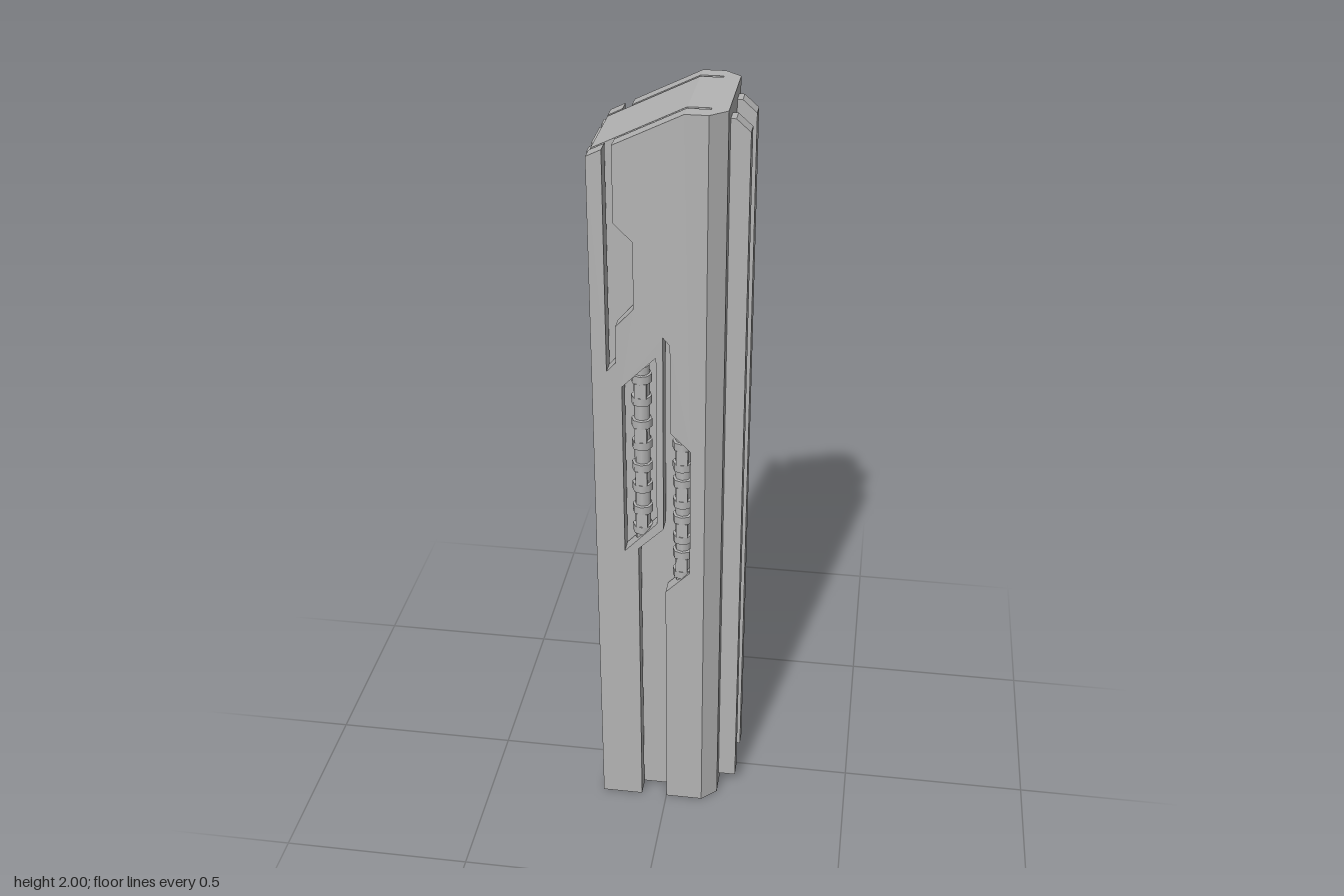
import * as THREE from 'three';

const wall = new THREE.MeshStandardMaterial({ color: 0xb4b4b4 });
wall.name = 'light grey wall';

const toShape = (pts) => new THREE.Shape(pts.map(([x, y]) => new THREE.Vector2(x, y)));
const extrude = (shape, depth) =>
  new THREE.ExtrudeGeometry(shape, { depth, bevelEnabled: false });

export function createModel() {
  const tower = new THREE.Group();
  tower.name = 'tower';
  const add = (name, geometry) => {
    const mesh = new THREE.Mesh(geometry, wall);
    mesh.name = name;
    tower.add(mesh);
    return mesh;
  };

  // Core slab with a sloping roof and a recessed back above a sloped ledge
  add('core', extrude(toShape([
    [-0.178, 0], [0.11, 0], [0.11, 2], [0.045, 2], [-0.178, 1.893],
    [-0.178, 1.87], [-0.166, 1.87], [-0.166, 0.35], [-0.178, 0.28],
  ]), 0.224).translate(0, 0, -0.112));

  // Full-height chamfered spine that joins the core and both side panels
  const spine = toShape([
    [0.1, -0.165], [0.14, -0.128], [0.14, 0.128], [0.1, 0.165],
  ]);
  add('spine', extrude(spine, 2).rotateX(-Math.PI / 2));

  // Side panels: groove open at the foot, notch open at the roof, slanted window
  const panel = toShape([
    [-0.18, 0], [-0.07, 0], [-0.07, 0.84], [-0.005, 0.905], [-0.005, 1.45],
    [0.012, 1.43], [0.012, 1.19], [0.063, 1.14], [0.063, 0.775], [0, 0.71],
    [0, 0], [0.1, 0], [0.1, 2], [0.045, 2],
    [-0.12, 1.921], [-0.12, 1.735], [-0.075, 1.69], [-0.075, 1.52],
    [-0.12, 1.47], [-0.12, 1.375], [-0.143, 1.35], [-0.143, 1.91], [-0.18, 1.892],
  ]);
  panel.holes.push(new THREE.Path([
    [-0.106, 0.83], [-0.022, 0.92], [-0.022, 1.395], [-0.106, 1.31],
  ].map(([x, y]) => new THREE.Vector2(x, y))));

  for (const side of [1, -1]) {
    const label = side > 0 ? 'front' : 'back';
    add(label + 'Panel', extrude(panel, 0.043).translate(0, 0, side > 0 ? 0.122 : -0.165));

    // Ringed pipes standing inside the two openings
    for (const [x, bottom, top, count] of [[-0.062, 0.86, 1.36, 4], [0.041, 0.74, 1.17, 4]]) {
      const h = top - bottom;
      add(label + 'Pipe', new THREE.CylinderGeometry(0.02, 0.02, h, 8)
        .translate(x, bottom + h / 2, side * 0.134));
      for (let i = 0; i < count; i++) {
        const y = bottom + h * (i + 0.5) / count;
        for (const dy of [-0.03, 0.03]) {
          add(label + 'PipeRing', new THREE.CylinderGeometry(0.026, 0.026, 0.022, 8)
            .translate(x, y + dy, side * 0.137));
        }
        add(label + 'PipeClamp', new THREE.BoxGeometry(0.03, 0.04, 0.012)
          .translate(x, y, side * 0.154));
      }
    }

    // Vertical rails on the spine, with sloped tops
    add(label + 'Rail', extrude(toShape([
      [0.135, 0.035], [0.187, 0.035], [0.187, 1.94], [0.153, 1.97], [0.135, 1.97],
    ]), 0.043).translate(0, 0, side * 0.068 - 0.0215));
  }

  // Raised strips on the recessed face, changing width half way up
  const strip = (name, pts) => add(name,
    extrude(toShape(pts), 0.022).rotateY(-Math.PI / 2).translate(-0.165, 0, 0));
  strip('middleStrip', [
    [-0.02, 0.35], [0.02, 0.35], [0.02, 0.96], [0.056, 1.02],
    [0.056, 1.885], [-0.056, 1.885], [-0.056, 1.02], [-0.02, 0.96],
  ]);
  for (const s of [1, -1]) {
    const pts = [
      [0.04, 0.35], [0.112, 0.35], [0.112, 1.885], [0.076, 1.885], [0.076, 1.02], [0.04, 0.96],
    ];
    strip('sideStrip', pts.map(([z, y]) => [z * s, y]));
  }

  return tower;
}
